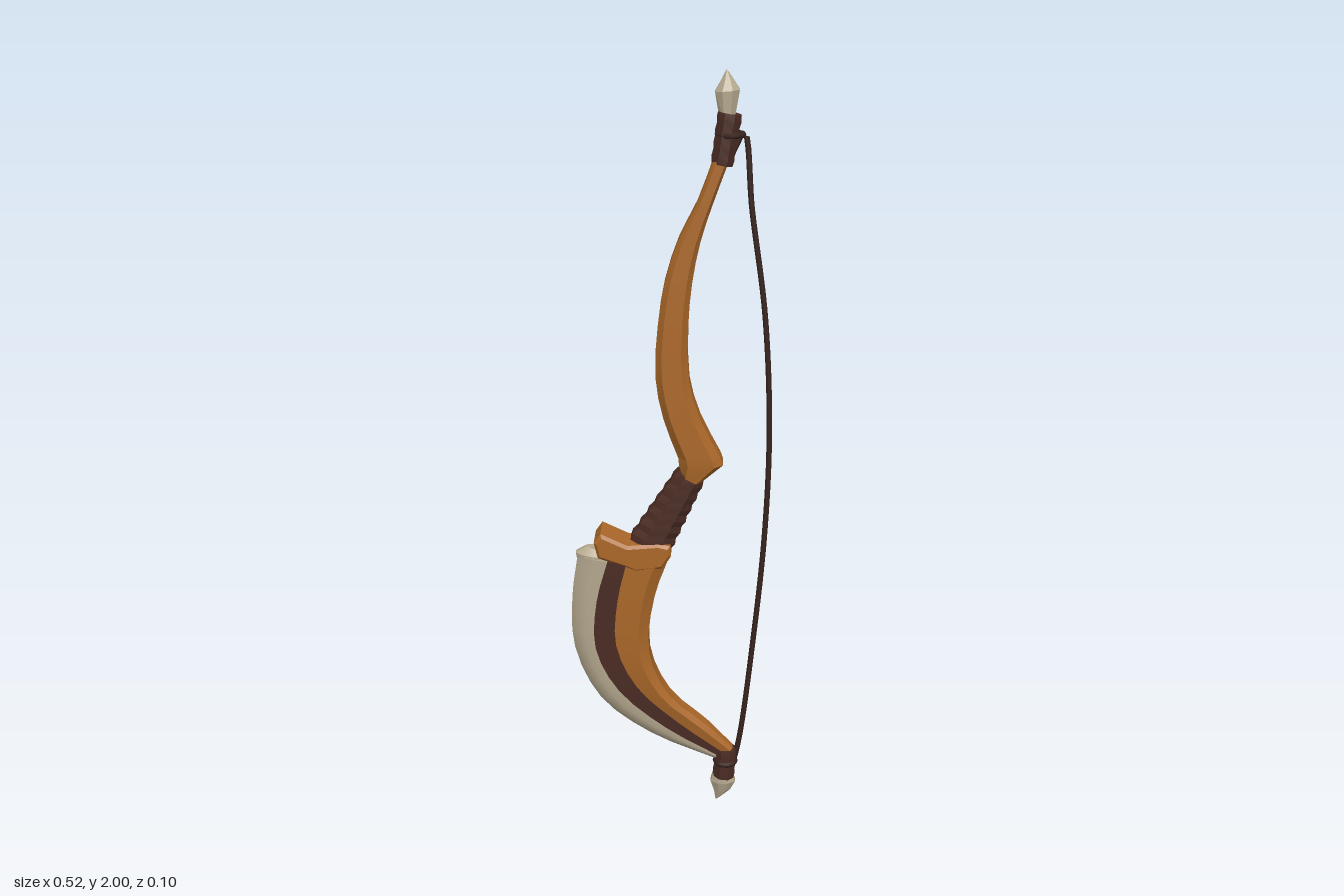
import * as THREE from 'three';
import { toCreasedNormals } from 'three/addons/utils/BufferGeometryUtils.js';

const wood = new THREE.MeshStandardMaterial({ color: 0xab6829 });
wood.name = 'wood';
const leather = new THREE.MeshStandardMaterial({ color: 0x4b2c24 });
leather.name = 'leather';
const bone = new THREE.MeshStandardMaterial({ color: 0xb5a88e });
bone.name = 'bone';
const cord = new THREE.MeshStandardMaterial({ color: 0x38241e });
cord.name = 'cord';

// Cross-sections: [across 0..1 from outer to inner edge, z as a fraction of half depth]
const CHAMFERED = [[0, -0.6], [0.2, -1], [0.8, -1], [1, -0.55], [1, 0.55], [0.8, 1], [0.2, 1], [0, 0.6]];
const BELLY = [[0, -0.9], [0.7, -1], [1, -0.55], [1, 0.55], [0.7, 1], [0, 0.9]];
const STRIP = [[0, -1], [1, -1], [1, 1], [0, 1]];
const HORN = [[0, -0.3], [0.25, -0.75], [0.6, -1], [1, -1], [1, 1], [0.6, 1], [0.25, 0.75], [0, 0.3]];
const ROUND = Array.from({ length: 8 }, (_, i) => {
  const a = (i + 0.5) * Math.PI / 4;
  return [0.5 - 0.54 * Math.cos(a), -1.08 * Math.sin(a)];
});

// Loft a section along rows of [outerX, outerY, innerX, innerY, halfDepth]
function loft(rows, section, steps = 1, crease = 0.5) {
  const outer = new THREE.CatmullRomCurve3(rows.map(r => new THREE.Vector3(r[0], r[1], r[4])));
  const inner = new THREE.CatmullRomCurve3(rows.map(r => new THREE.Vector3(r[2], r[3], 0)));
  const count = (rows.length - 1) * steps, n = section.length;
  const rings = [];
  for (let i = 0; i <= count; i++) {
    const a = outer.getPoint(i / count), b = inner.getPoint(i / count);
    rings.push(section.map(([t, z]) => new THREE.Vector3(a.x + (b.x - a.x) * t, a.y + (b.y - a.y) * t, z * a.z)));
  }
  const tris = [];
  for (let i = 0; i < count; i++) {
    for (let j = 0; j < n; j++) {
      const k = (j + 1) % n, p = rings[i], q = rings[i + 1];
      tris.push([p[j], p[k], q[k]], [p[j], q[k], q[j]]);
    }
  }
  const first = rings[0], last = rings[count];
  for (let j = 1; j < n - 1; j++) {
    tris.push([first[0], first[j + 1], first[j]], [last[0], last[j], last[j + 1]]);
  }
  // Make the surface face outwards whichever way the rows run
  const cross = new THREE.Vector3();
  const volume = tris.reduce((s, [a, b, c]) => s + a.dot(cross.crossVectors(b, c)), 0);
  if (volume < 0) tris.forEach(t => t.reverse());
  const geometry = new THREE.BufferGeometry().setFromPoints(tris.flat());
  return toCreasedNormals(geometry, crease);
}

// Overlapping wound bands between two rows
function wrapRows(a, b, bands, swell) {
  const rows = [];
  for (let i = 0; i <= bands * 2; i++) {
    const r = a.map((v, k) => v + (b[k] - v) * i / (bands * 2));
    const s = i % 2 ? swell : 0, dx = r[2] - r[0], dy = r[3] - r[1];
    rows.push([r[0] - dx * s, r[1] - dy * s, r[2] + dx * s, r[3] + dy * s, r[4] * (1 + s)]);
  }
  return rows;
}

export function createModel() {
  const model = new THREE.Group();
  model.name = 'bow';
  const add = (name, geometry, material) => {
    const mesh = new THREE.Mesh(geometry, material);
    mesh.name = name;
    model.add(mesh);
    return mesh;
  };

  // Upper limb with its sharp shoulder above the grip
  add('upperLimb', loft([
    [0.105, 1.80, 0.14, 1.79, 0.027], [0.065, 1.69, 0.10, 1.68, 0.031], [0.02, 1.60, 0.072, 1.59, 0.034],
    [-0.015, 1.49, 0.053, 1.49, 0.038], [-0.032, 1.38, 0.044, 1.38, 0.041], [-0.038, 1.25, 0.047, 1.24, 0.044],
    [-0.018, 1.14, 0.075, 1.14, 0.046], [0.02, 1.035, 0.128, 1.035, 0.047],
  ], CHAMFERED, 2), wood);
  add('upperShoulder', loft([
    [0.02, 1.035, 0.128, 1.035, 0.047], [0.022, 1.015, 0.135, 1.015, 0.047], [0.03, 0.985, 0.075, 0.962, 0.04],
  ], CHAMFERED), wood);

  // Leather-wound grip
  add('grip', loft(wrapRows([0.02, 0.995, 0.085, 0.965, 0.037], [-0.105, 0.80, 0.0, 0.775, 0.042], 6, 0.05), ROUND, 1, 0.3), leather);

  // Arrow shelf jutting forward below the grip
  const shelf = new THREE.Shape([
    [-0.2, 0.80], [-0.182, 0.826], [-0.112, 0.793], [-0.03, 0.80], [0, 0.793], [0.002, 0.765],
    [-0.02, 0.73], [-0.09, 0.72], [-0.125, 0.735], [-0.19, 0.757],
  ].map(p => new THREE.Vector2(...p)));
  const shelfGeometry = new THREE.ExtrudeGeometry(shelf, {
    depth: 0.084, bevelEnabled: true, bevelSize: 0.008, bevelThickness: 0.008, bevelOffset: -0.008, bevelSegments: 1,
  });
  add('shelf', shelfGeometry, wood).position.z = -0.042;

  // Lower limb: wooden belly, leather strip and horn backing share these edges
  const hornEdge = [[-0.245, 0.755], [-0.262, 0.63], [-0.258, 0.48], [-0.19, 0.325], [-0.055, 0.215], [0.125, 0.133]];
  const stripEdge = [[-0.165, 0.745], [-0.195, 0.63], [-0.20, 0.49], [-0.14, 0.36], [-0.01, 0.24], [0.138, 0.146]];
  const woodEdge = [[-0.115, 0.745], [-0.14, 0.63], [-0.145, 0.50], [-0.09, 0.37], [0.025, 0.255], [0.15, 0.156]];
  const bellyEdge = [[0.0, 0.765], [-0.042, 0.64], [-0.057, 0.47], [-0.002, 0.338], [0.10, 0.245], [0.172, 0.17]];
  const depth = [0.05, 0.048, 0.045, 0.039, 0.03, 0.019];
  const layer = (a, b, s) => a.map((p, i) => [...p, ...b[i], depth[i] * s]);
  add('lowerLimb', loft(layer(woodEdge, bellyEdge, 1), BELLY, 3), wood);
  add('limbStrip', loft(layer(stripEdge, woodEdge, 0.9), STRIP, 3), leather);
  add('hornBacking', loft(layer(hornEdge, stripEdge, 0.78), HORN, 3), bone);
  add('hornKnob', loft([
    [-0.246, 0.735, -0.165, 0.735, 0.036], [-0.25, 0.758, -0.17, 0.753, 0.034], [-0.222, 0.775, -0.185, 0.768, 0.018],
  ], HORN), bone);

  // Leather bindings and bone points at both ends
  add('upperBinding', loft(wrapRows([0.098, 1.785, 0.148, 1.775, 0.032], [0.113, 1.905, 0.168, 1.895, 0.03], 4, 0.04), ROUND, 1, 0.3), leather);
  add('upperTip', loft([
    [0.115, 1.89, 0.152, 1.89, 0.022], [0.104, 1.95, 0.163, 1.955, 0.024],
    [0.118, 1.975, 0.15, 1.975, 0.013], [0.13, 2.0, 0.134, 1.998, 0.003],
  ], ROUND, 1, 0.1), bone);
  add('lowerBinding', loft(wrapRows([0.125, 0.165, 0.18, 0.165, 0.026], [0.12, 0.08, 0.175, 0.075, 0.028], 3, 0.04), ROUND, 1, 0.3), leather);
  add('lowerTip', loft([
    [0.122, 0.10, 0.172, 0.09, 0.022], [0.112, 0.062, 0.18, 0.062, 0.023],
    [0.122, 0.03, 0.167, 0.034, 0.015], [0.126, 0.0, 0.134, 0.003, 0.004],
  ], ROUND, 1, 0.1), bone);

  // Bowstring with a looped knot at each end
  const path = new THREE.CatmullRomCurve3([
    [0.145, 1.80], [0.175, 1.855], [0.197, 1.67], [0.235, 1.40], [0.252, 1.1], [0.246, 0.81], [0.221, 0.49], [0.19, 0.2], [0.17, 0.10],
  ].map(([x, y]) => new THREE.Vector3(x, y, 0)));
  add('string', new THREE.TubeGeometry(path, 70, 0.008, 6), cord);
  [[0.142, 1.85, 0.031], [0.152, 0.125, 0.028]].forEach(([x, y, r]) => {
    const loop = add('stringLoop', new THREE.TorusGeometry(r, 0.007, 6, 14), cord);
    loop.position.set(x, y, 0);
    loop.rotation.x = Math.PI / 2;
  });

  return model;
}
